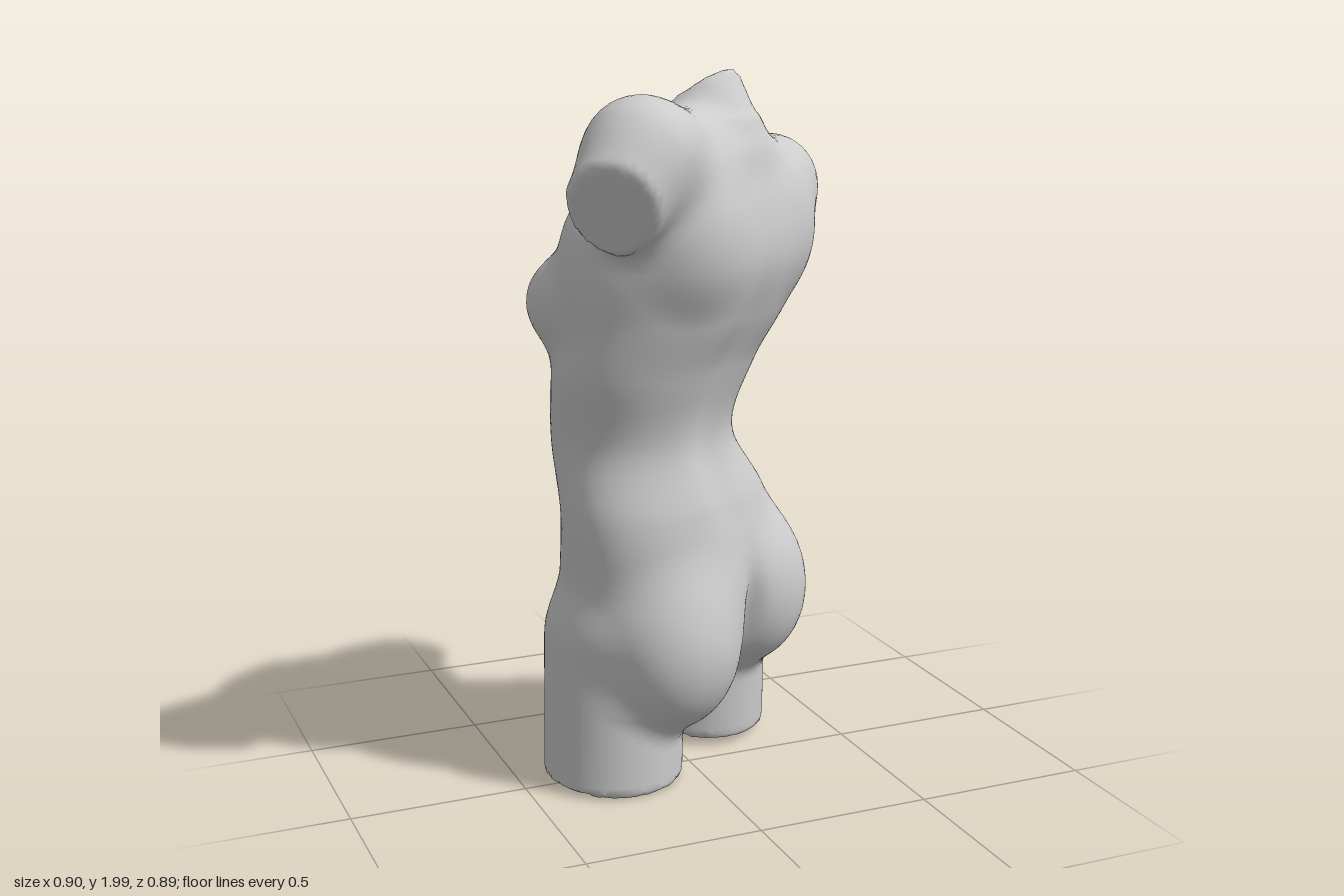
import * as THREE from 'three';
import { mergeVertices } from 'three/addons/utils/BufferGeometryUtils.js';

// The figure is modelled square-on (back towards +z), then turned about y.
const TURN = 0.576;
const STEP = 0.02;
const MIN = [-0.64, -0.05, -0.48];
const SIZE = [62, 106, 43];

// Trunk cross-sections: height, centre x, centre z, half width, half depth
const SECTIONS = [
  [0.31, 0.03, -0.12, 0.33, 0.18],
  [0.45, 0.045, -0.095, 0.405, 0.25],
  [0.60, 0.04, -0.08, 0.40, 0.275],
  [0.80, -0.012, -0.078, 0.365, 0.24],
  [1.00, -0.068, -0.11, 0.298, 0.227],
  [1.20, -0.06, -0.07, 0.35, 0.24],
  [1.35, -0.03, -0.015, 0.38, 0.255],
  [1.50, -0.025, 0.035, 0.385, 0.25],
  [1.65, -0.025, 0.045, 0.365, 0.22],
  [1.78, -0.01, 0.06, 0.27, 0.15],
  [1.84, 0.02, 0.065, 0.16, 0.09],
];

// Smooth interpolation between the trunk sections
function sectionAt(y) {
  const n = SECTIONS.length - 1;
  let i = 0;
  while (i < n - 1 && y > SECTIONS[i + 1][0]) i++;
  const s = [SECTIONS[Math.max(i - 1, 0)], SECTIONS[i], SECTIONS[i + 1], SECTIONS[Math.min(i + 2, n)]];
  const span = s[2][0] - s[1][0];
  const t = THREE.MathUtils.clamp((y - s[1][0]) / span, 0, 1);
  return [1, 2, 3, 4].map((k) => {
    const m0 = ((s[2][k] - s[0][k]) / (s[2][0] - s[0][0])) * span;
    const m1 = ((s[3][k] - s[1][k]) / (s[3][0] - s[1][0])) * span;
    const a = s[1][k], b = s[2][k];
    return a + t * (m0 + t * (3 * (b - a) - 2 * m0 - m1 + t * (2 * (a - b) + m0 + m1)));
  });
}

const bump = (...ratios) => Math.exp(-ratios.reduce((sum, r) => sum + r * r, 0));

function blend(a, b, k) {
  const h = Math.max(k - Math.abs(a - b), 0) / k;
  return Math.min(a, b) - h * h * k * 0.25;
}

// Signed distances of the basic forms
function ellipsoid(c, r) {
  return (p) => {
    const q = p.map((v, i) => (v - c[i]) / r[i]);
    const k0 = Math.hypot(...q);
    const k1 = Math.hypot(q[0] / r[0], q[1] / r[1], q[2] / r[2]);
    return k1 < 1e-6 ? -Math.min(...r) : (k0 * (k0 - 1)) / k1;
  };
}

// Tapered limb from a to b, sawn off by a plane with a slightly worn rim
function stump(a, ra, b, rb, cutPoint, cutNormal) {
  const ab = b.map((v, i) => v - a[i]);
  const len2 = ab[0] ** 2 + ab[1] ** 2 + ab[2] ** 2;
  const nl = Math.hypot(...cutNormal);
  return (p) => {
    const d = p.map((v, i) => v - a[i]);
    const t = THREE.MathUtils.clamp((d[0] * ab[0] + d[1] * ab[1] + d[2] * ab[2]) / len2, 0, 1);
    const limb = Math.hypot(d[0] - t * ab[0], d[1] - t * ab[1], d[2] - t * ab[2]) - ra - t * (rb - ra);
    const cut = cutNormal.reduce((sum, n, i) => sum + n * (p[i] - cutPoint[i]), 0) / nl;
    return -blend(-limb, -cut, 0.02);
  };
}

function trunk([x, y, z]) {
  const [cx, cz, rx, rz] = sectionAt(y);
  const dx = x - cx, dz = z - cz;
  const k0 = Math.hypot(dx / rx, dz / rz);
  const k1 = Math.hypot(dx / (rx * rx), dz / (rz * rz));
  let d = k1 < 1e-6 ? -rz : (k0 * (k0 - 1)) / k1;
  // spine furrow and navel
  if (dz > 0) d += 0.02 * bump((dx + 0.02) / 0.065, (y - 1.25) / 0.45);
  d += 0.012 * bump((x + 0.02) / 0.03, (y - 0.8) / 0.03, (z + 0.32) / 0.1);
  return Math.max(d, 0.32 - y, y - 1.84);
}

// Each part, with the softness of its join to the body
const PARTS = [
  { name: 'trunk', soft: 0, dist: trunk },
  { name: 'leftShoulderBlade', soft: 0.1, dist: ellipsoid([0.17, 1.59, 0.15], [0.12, 0.17, 0.11]) },
  { name: 'rightShoulderBlade', soft: 0.1, dist: ellipsoid([-0.22, 1.61, 0.15], [0.12, 0.18, 0.11]) },
  { name: 'leftUpperChest', soft: 0.12, dist: ellipsoid([0.12, 1.49, -0.12], [0.15, 0.18, 0.11]) },
  { name: 'rightUpperChest', soft: 0.12, dist: ellipsoid([-0.25, 1.50, -0.09], [0.15, 0.18, 0.11]) },
  { name: 'leftBreast', soft: 0.09, dist: ellipsoid([0.12, 1.37, -0.245], [0.135, 0.13, 0.13]) },
  { name: 'rightBreast', soft: 0.09, dist: ellipsoid([-0.25, 1.38, -0.205], [0.13, 0.13, 0.13]) },
  { name: 'leftButtock', soft: 0.09, dist: ellipsoid([0.225, 0.49, 0.038], [0.19, 0.23, 0.185]) },
  { name: 'rightButtock', soft: 0.09, dist: ellipsoid([-0.14, 0.425, 0.038], [0.205, 0.25, 0.19]) },
  { name: 'neck', soft: 0.07,
    dist: stump([0.02, 1.79, 0.085], 0.125, [0.05, 2.0, -0.05], 0.128, [0.05, 1.917, 0], [-0.03, 0.74, -0.66]) },
  { name: 'leftArm', soft: 0.09,
    dist: stump([0.31, 1.665, 0.06], 0.14, [0.385, 1.575, 0], 0.128, [0.39, 1.5, -0.06], [0, -0.75, -0.6]) },
  { name: 'rightShoulder', soft: 0.08,
    dist: stump([-0.15, 1.77, 0.08], 0.13, [-0.36, 1.80, 0.1], 0.135, [-0.6, 1.8, 0.1], [-1, 0, 0]) },
  { name: 'rightArm', soft: 0.08,
    dist: stump([-0.36, 1.79, 0.1], 0.135, [-0.55, 1.63, 0.105], 0.12, [-0.495, 1.66, 0.105], [-0.85, -0.4, 0.25]) },
];
const THIGHS = [
  { name: 'leftThigh',
    dist: stump([0.235, 0.44, -0.125], 0.2, [0.264, -0.1, -0.125], 0.178, [0.25, 0.035, -0.13], [0, -1, -0.08]) },
  { name: 'rightThigh',
    dist: stump([-0.175, 0.42, -0.135], 0.2, [-0.192, -0.1, -0.135], 0.198, [-0.2, 0.012, -0.14], [0, -1, -0.04]) },
];

function body(p) {
  const upper = PARTS.reduce((d, part) => (part.soft ? blend(d, part.dist(p), part.soft) : part.dist(p)), 0);
  const cleft = 0.035 * bump((p[0] - 0.05) / 0.035, (p[1] - 0.43) / 0.16, (p[2] - 0.2) / 0.12);
  return blend(upper, Math.min(...THIGHS.map((t) => t.dist(p))), 0.06) + cleft;
}

// Skin over the joined forms: one vertex per surface cell, one quad per crossed grid edge
function buildSkin() {
  const strides = [1, SIZE[0], SIZE[0] * SIZE[1]];
  const at = (c) => c.map((v, i) => MIN[i] + v * STEP);
  const values = new Float32Array(SIZE[0] * SIZE[1] * SIZE[2]);
  const eachCell = (visit) => {
    for (let k = 0; k < SIZE[2] - 1; k++)
      for (let j = 0; j < SIZE[1] - 1; j++)
        for (let i = 0; i < SIZE[0] - 1; i++) visit([i, j, k], i + j * strides[1] + k * strides[2]);
  };
  values.fill(1);
  eachCell((c, id) => { values[id] = body(at(c)); });

  const positions = [], normals = [], vertexOf = new Map();
  eachCell((c, id) => {
    const sum = [0, 0, 0];
    let count = 0;
    for (let corner = 0; corner < 8; corner++) {
      const o = [corner & 1, (corner >> 1) & 1, corner >> 2];
      const from = id + o[0] + o[1] * strides[1] + o[2] * strides[2];
      for (let a = 0; a < 3; a++) {
        if (o[a]) continue;
        const v0 = values[from], v1 = values[from + strides[a]];
        if (v0 < 0 === v1 < 0) continue;
        for (let b = 0; b < 3; b++) sum[b] += o[b] + (a === b ? v0 / (v0 - v1) : 0);
        count++;
      }
    }
    if (!count) return;
    const p = at(c.map((v, i) => v + sum[i] / count));
    const slope = [0, 1, 2].map((a) => {
      const step = (s) => p.map((v, i) => v + (i === a ? s : 0));
      return body(step(0.008)) - body(step(-0.008));
    });
    const l = Math.hypot(...slope) || 1;
    vertexOf.set(id, positions.length / 3);
    positions.push(...p);
    normals.push(...slope.map((v) => v / l));
  });

  // Sort every quad into the part it lies nearest to
  const all = [...PARTS, ...THIGHS];
  const faces = new Map(all.map((part) => [part.name, []]));
  eachCell((c, id) => {
    for (let a = 0; a < 3; a++) {
      const inside = values[id] < 0;
      if (inside === values[id + strides[a]] < 0) continue;
      const b = strides[(a + 1) % 3], d = strides[(a + 2) % 3];
      const q = [id, id - b, id - b - d, id - d].map((n) => vertexOf.get(n));
      if (!inside) q.reverse();
      const p = at(c);
      const nearest = all.reduce((best, part) => {
        const dist = part.dist(p);
        return dist < best.dist ? { dist, name: part.name } : best;
      }, { dist: Infinity });
      faces.get(nearest.name).push(q[0], q[1], q[2], q[0], q[2], q[3]);
    }
  });
  return { positions, normals, faces };
}

export function createModel() {
  const group = new THREE.Group();
  group.name = 'torsoSculpture';
  const stone = new THREE.MeshStandardMaterial({ color: 0xcccccc });
  const { positions, normals, faces } = buildSkin();
  const position = new THREE.Float32BufferAttribute(positions, 3);
  const normal = new THREE.Float32BufferAttribute(normals, 3);
  for (const [name, index] of faces) {
    if (!index.length) continue;
    const shared = new THREE.BufferGeometry();
    shared.setAttribute('position', position);
    shared.setAttribute('normal', normal);
    shared.setIndex(index);
    const mesh = new THREE.Mesh(mergeVertices(shared.toNonIndexed()), stone);
    mesh.name = name;
    group.add(mesh);
  }
  group.rotation.y = TURN;
  return group;
}
